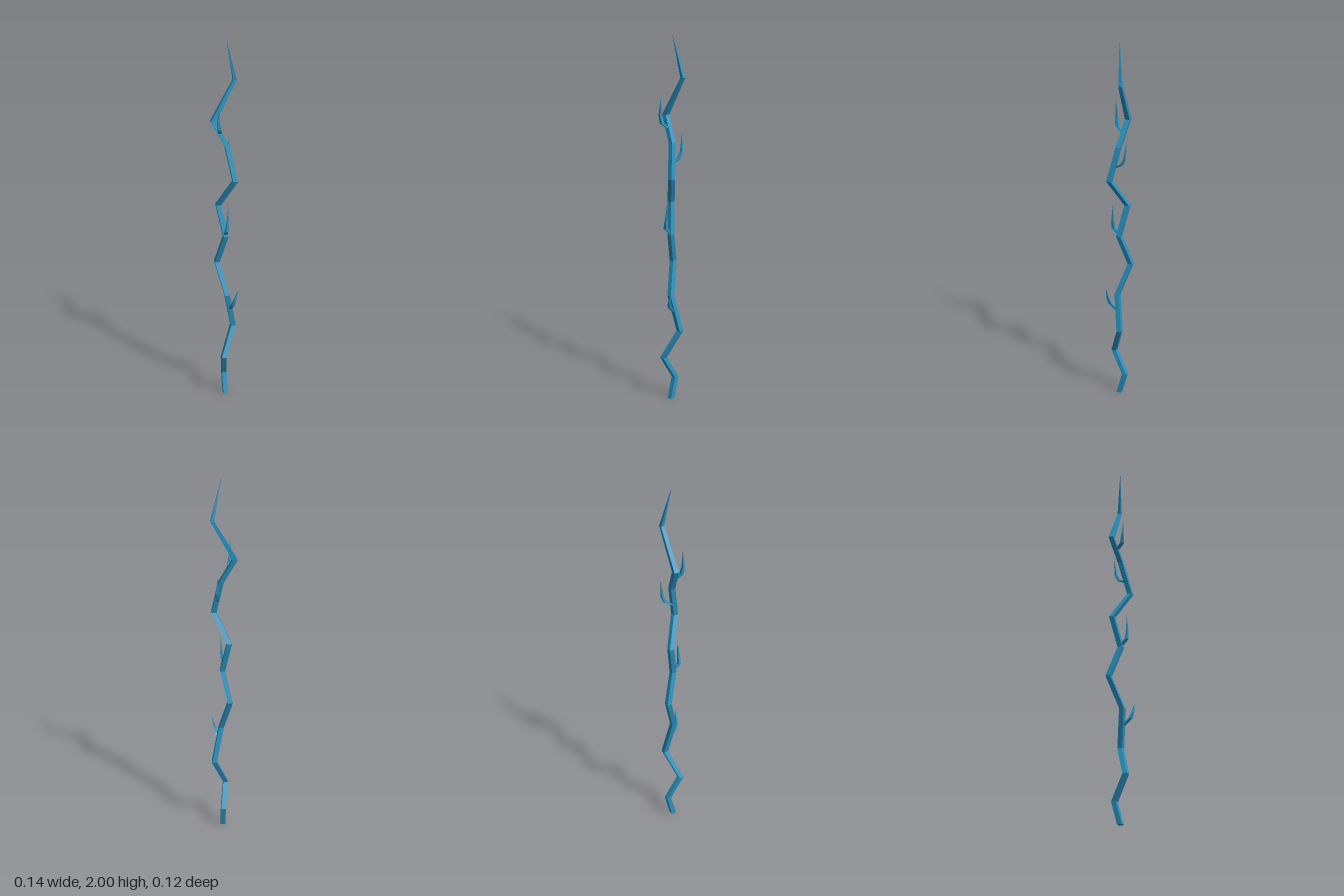
import * as THREE from 'three';

const material = new THREE.MeshStandardMaterial({ color: 0x2a93c0, flatShading: true });

// Crooked square rod: each node is [x, y, z, half width], joined by level square sections.
function squareRod(name, nodes) {
  const corners = [[1, 1], [1, -1], [-1, -1], [-1, 1]];
  const positions = [];
  const index = [];
  for (const [x, y, z, r] of nodes) {
    for (const [cx, cz] of corners) positions.push(x + cx * r, y, z + cz * r);
  }
  for (let n = 0; n < nodes.length - 1; n++) {
    for (let i = 0; i < 4; i++) {
      const a = n * 4 + i;
      const b = n * 4 + (i + 1) % 4;
      index.push(a, b, b + 4, a, b + 4, a + 4);
    }
  }
  // end caps
  const t = (nodes.length - 1) * 4;
  index.push(0, 2, 1, 0, 3, 2, t, t + 1, t + 2, t, t + 2, t + 3);
  const indexed = new THREE.BufferGeometry();
  indexed.setAttribute('position', new THREE.Float32BufferAttribute(positions, 3));
  indexed.setIndex(index);
  const geometry = indexed.toNonIndexed();
  geometry.computeVertexNormals();
  const mesh = new THREE.Mesh(geometry, material);
  mesh.name = name;
  return mesh;
}

export function createModel() {
  const group = new THREE.Group();
  group.name = 'crookedStem';

  // main zigzag stem, tapering to a point
  const w = 0.013;
  group.add(squareRod('stem', [
    [0.003, 0, 0.004, w],
    [0.002, 0.12, -0.028, w],
    [-0.016, 0.25, 0.042, w],
    [0.05, 0.41, -0.017, w],
    [0.01, 0.61, 0.012, w],
    [-0.032, 0.785, -0.046, w],
    [0.004, 0.95, 0.006, w],
    [-0.028, 1.12, -0.028, w],
    [0.045, 1.27, 0.042, w],
    [0.012, 1.45, 0.004, w],
    [-0.057, 1.58, -0.018, w],
    [0.057, 1.787, -0.026, 0.009],
    [0.01, 2, 0, 0.0005],
  ]));

  // small upturned thorns: base, elbow, shaft, tip
  const thorns = [
    [[0.026, 0.525, 0.008], [0.034, 0.56, 0.044], [0.042, 0.59, 0.054], [0.058, 0.65, 0.058]],
    [[0.002, 0.965, 0.012], [0.0, 0.99, 0.04], [0.006, 1.03, 0.042], [0.01, 1.125, 0.038]],
    [[0.028, 1.345, 0.012], [0.034, 1.365, -0.022], [0.036, 1.4, -0.038], [0.032, 1.49, -0.048]],
    [[-0.026, 1.52, 0.0], [-0.034, 1.545, 0.032], [-0.04, 1.59, 0.038], [-0.035, 1.675, 0.04]],
  ];
  const widths = [0.008, 0.008, 0.006, 0.0005];
  thorns.forEach((path, k) => {
    group.add(squareRod('thorn' + (k + 1), path.map((p, i) => [...p, widths[i]])));
  });
  return group;
}
